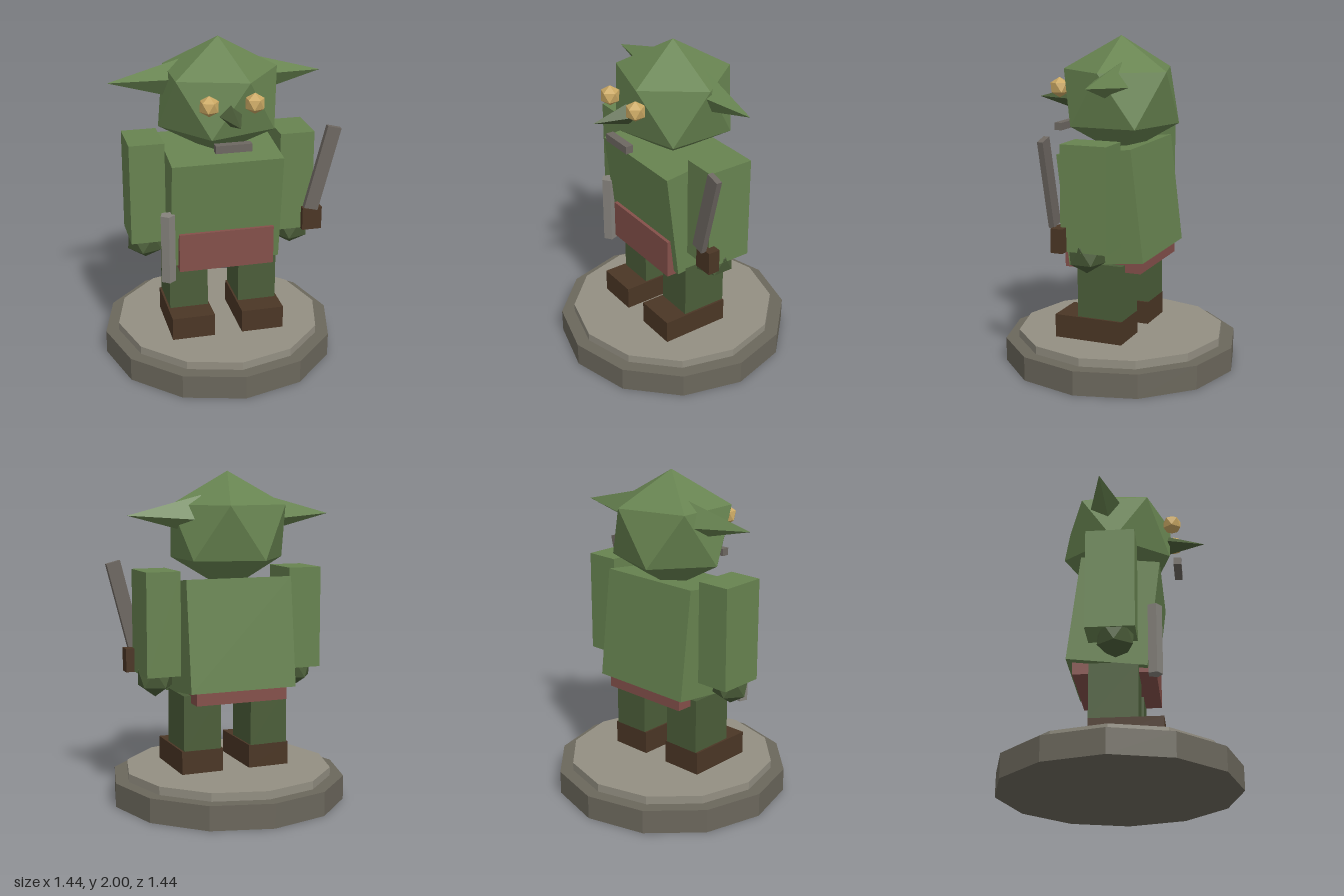
import * as THREE from 'three';

const material = (name, color) => {
  const m = new THREE.MeshStandardMaterial({ color });
  m.name = name;
  return m;
};

export function createModel() {
  const group = new THREE.Group();
  const skin = material('green skin', 0x678350);
  const darkSkin = material('dark green', 0x4b5d39);
  const leather = material('brown leather', 0x4b3625);
  const cloth = material('red cloth', 0x84504a);
  const amber = material('amber eye', 0xcaa863);
  const darkStone = material('dark stone', 0x6b675c);
  const lightStone = material('light stone', 0x938f82);
  const metal = material('dark metal', 0x6d6761);
  const paleMetal = material('pale metal', 0x85827c);

  // Adds a faceted mesh at a position
  const add = (name, geometry, mat, x, y, z) => {
    const flat = geometry.index ? geometry.toNonIndexed() : geometry;
    flat.computeVertexNormals();
    const mesh = new THREE.Mesh(flat, mat);
    mesh.name = name;
    mesh.position.set(x, y, z);
    group.add(mesh);
    return mesh;
  };
  const box = (w, h, d) => new THREE.BoxGeometry(w, h, d);
  // Icosahedron standing on a corner
  const ball = (rx, ry = rx, rz = rx) =>
    new THREE.IcosahedronGeometry(1, 0)
      .rotateZ(-Math.atan(2 / (1 + Math.sqrt(5))))
      .scale(rx, ry, rz);

  // Round stand
  add('standRim', new THREE.CylinderGeometry(0.72, 0.72, 0.146, 12), darkStone, 0, 0.073, 0);
  add('standTop', new THREE.CylinderGeometry(0.638, 0.638, 0.05, 12), lightStone, 0, 0.171, 0);

  // Body, leaning forward
  add('torso', box(0.67, 0.668, 0.475), skin, 0, 1.013, 0).rotation.x = 0.12;
  add('loincloth', box(0.58, 0.24, 0.486), cloth, 0, 0.75, 0);

  // Head
  add('head', ball(0.403, 0.36, 0.386), skin, 0, 1.64, 0);
  const nose = new THREE.ConeGeometry(0.085, 0.3, 4).rotateX(Math.PI / 2);
  add('nose', nose, darkSkin, 0, 1.615, 0.395);
  add('mouth', box(0.212, 0.046, 0.048), metal, 0, 1.447, 0.374);

  // Paired parts
  for (const side of [1, -1]) {
    const label = side > 0 ? 'left' : 'right';
    add(label + 'Foot', box(0.262, 0.142, 0.43), leather, side * 0.217, 0.267, 0.072);
    add(label + 'Leg', box(0.238, 0.338, 0.286), darkSkin, side * 0.216, 0.506, 0);
    add(label + 'Arm', box(0.21, 0.62, 0.286), skin, side * 0.456, 1.108, 0);
    add(label + 'Hand', ball(0.12), darkSkin, side * 0.459, 0.773, 0.024);
    add(label + 'Eye', ball(0.062), amber, side * 0.132, 1.69, 0.347);
    const ear = new THREE.ConeGeometry(0.12, 0.445, 4, 1, false, -side * 0.24)
      .rotateZ(-side * Math.PI / 2);
    add(label + 'Ear', ear, skin, side * 0.4225, 1.742, -0.056);
  }

  // Sword by the left hand
  add('swordGrip', box(0.122, 0.143, 0.074), leather, 0.552, 0.868, 0.143);
  add('swordBlade', box(0.087, 0.53, 0.035), metal, 0.599, 1.201, 0.191).rotation.z = -0.25;

  // Short rod by the right hand
  add('rod', new THREE.CylinderGeometry(0.045, 0.045, 0.428, 5), paleMetal, -0.36, 0.797, 0.24);

  return group;
}
